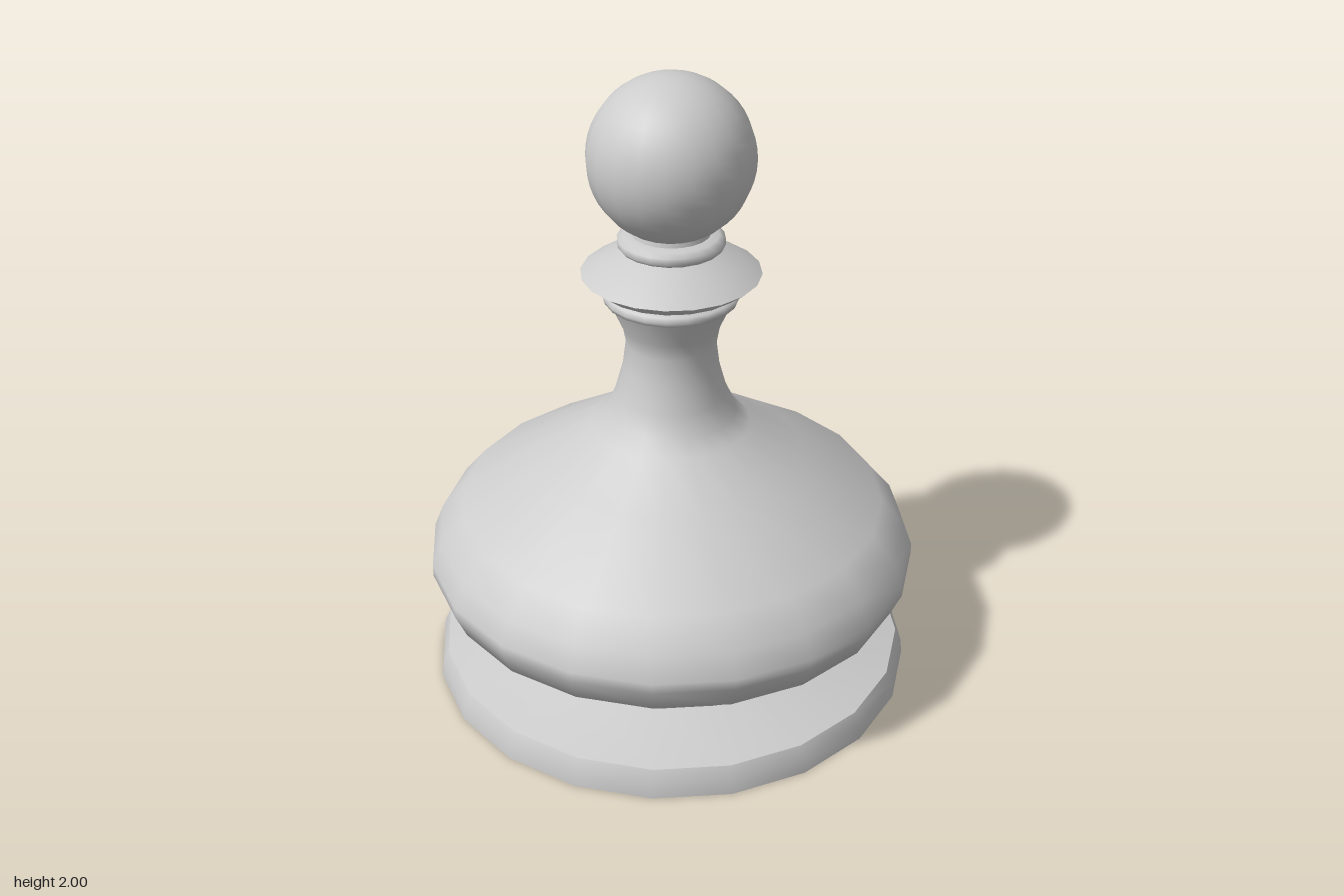
import * as THREE from 'three';

const SIDES = 20;

export function createModel() {
  const group = new THREE.Group();
  const material = new THREE.MeshStandardMaterial({ color: 0xcccccc });

  const add = (name, geometry) => {
    const mesh = new THREE.Mesh(geometry, material);
    mesh.name = name;
    group.add(mesh);
    return mesh;
  };
  // Turned part from [radius, height] pairs, listed bottom to top
  const turned = (name, profile) =>
    add(name, new THREE.LatheGeometry(profile.map(([r, y]) => new THREE.Vector2(r, y)), SIDES));

  // Foot: flat underside, low rim and sloping top
  const underside = add('footUnderside', new THREE.CircleGeometry(0.775, SIDES));
  underside.rotation.x = Math.PI / 2;
  turned('footRim', [[0.775, 0], [0.77, 0.05], [0.75, 0.09]]);
  turned('footTop', [[0.75, 0.09], [0.52, 0.15], [0.52, 0.16]]);

  // Thin ring between foot and body
  turned('baseRing', [[0.52, 0.157], [0.55, 0.162], [0.57, 0.175], [0.57, 0.195], [0.55, 0.208], [0.52, 0.212]]);

  // Wide squashed body flowing into the waisted neck
  turned('body', [
    [0.52, 0.205], [0.545, 0.215], [0.745, 0.32], [0.78, 0.4], [0.78, 0.435], [0.75, 0.51],
    [0.675, 0.6], [0.43, 0.755], [0.25, 0.87], [0.205, 0.915], [0.175, 0.98], [0.15, 1.07],
    [0.14, 1.15], [0.15, 1.205], [0.19, 1.295],
  ]);

  // Rings and flared collar under the head
  turned('neckRing', [[0.185, 1.293], [0.205, 1.297], [0.21, 1.31], [0.205, 1.325], [0.18, 1.332]]);
  turned('collarUnderside', [[0.18, 1.328], [0.225, 1.347], [0.275, 1.385]]);
  turned('collarTop', [[0.275, 1.385], [0.21, 1.427], [0.135, 1.46]]);
  turned('headRing', [[0.135, 1.457], [0.155, 1.467], [0.163, 1.477], [0.163, 1.497], [0.145, 1.508], [0.12, 1.512]]);
  turned('headSeat', [[0.12, 1.51], [0.115, 1.535]]);

  // Ball head
  add('head', new THREE.SphereGeometry(0.252, SIDES, 24)).position.y = 1.748;

  return group;
}
